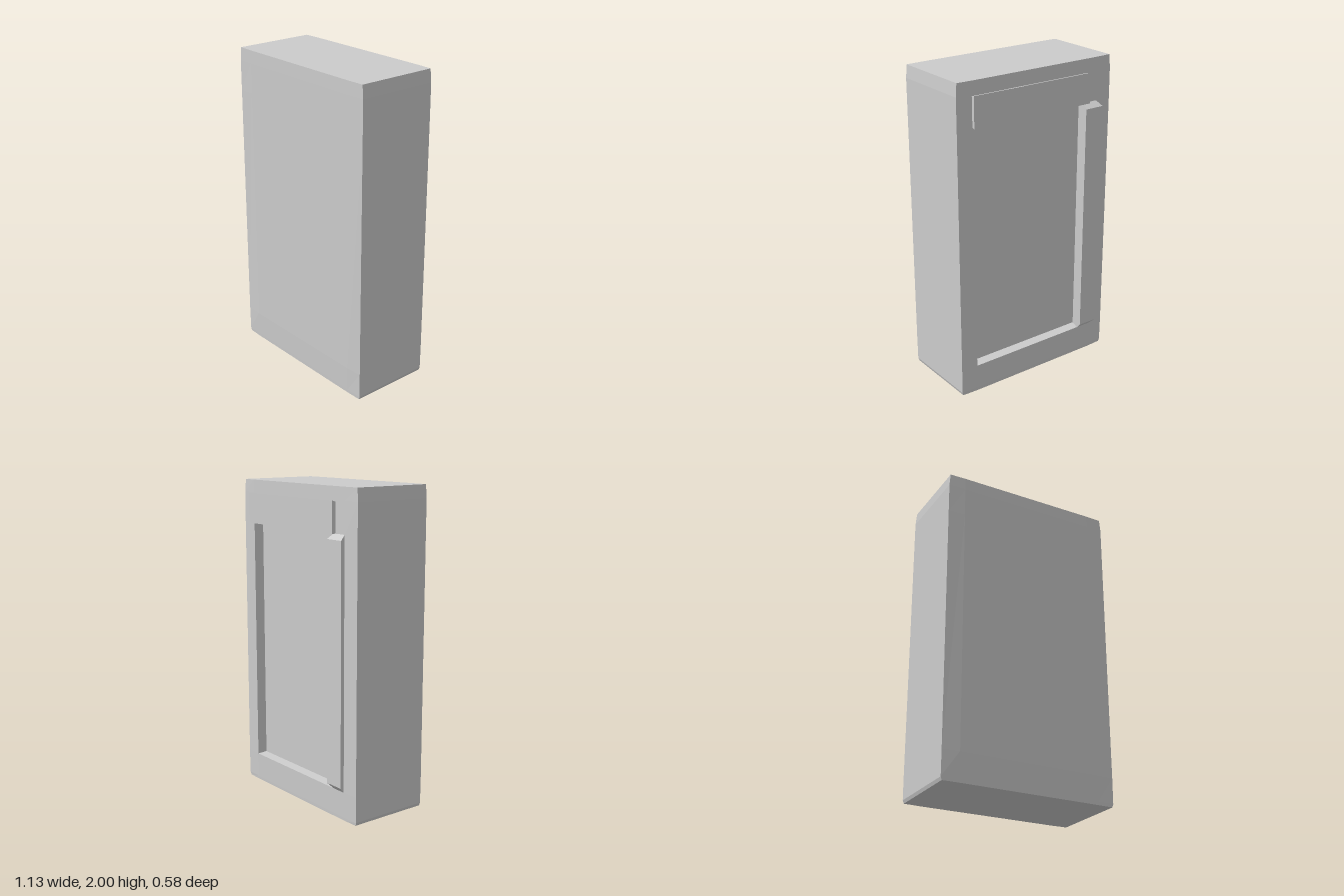
import * as THREE from 'three';

const material = new THREE.MeshStandardMaterial({ color: 0xcccccc, flatShading: true });

// Turns a list of four-cornered faces into a mesh
function quadMesh(name, quads) {
  const pos = quads.flatMap(([a, b, c, d]) => [a, b, c, a, c, d].flat());
  const geo = new THREE.BufferGeometry();
  geo.setAttribute('position', new THREE.Float32BufferAttribute(pos, 3));
  geo.computeVertexNormals();
  const mesh = new THREE.Mesh(geo, material);
  mesh.name = name;
  return mesh;
}

// Sloping sides through a row of rectangles [x0, x1, y0, y1, z], closed at the last one
function taper(name, ...rects) {
  const rings = rects.map(([x0, x1, y0, y1, z]) => [[x1, y0, z], [x0, y0, z], [x0, y1, z], [x1, y1, z]]);
  const quads = [rings[rings.length - 1]];
  for (let r = 0; r + 1 < rings.length; r++) {
    const a = rings[r], b = rings[r + 1];
    for (let i = 0; i < 4; i++) {
      const j = (i + 1) % 4;
      quads.push([a[i], a[j], b[j], b[i]]);
    }
  }
  return quadMesh(name, quads);
}

export function createModel() {
  const group = new THREE.Group();
  const mid = 0.455, low = 0.18, high = 1.73;

  // Body: eight-sided sections [y, half width, front corner, front, back corner, back]
  const rings = [
    [0, 0.558, 0.278, 0.281, -0.241, -0.246],
    [0.02, 0.565, 0.279, 0.282, -0.243, -0.247],
    [low, 0.565, 0.281, 0.288, -0.245, -0.25],
    [high, 0.565, 0.28, 0.284, -0.245, -0.25],
    [1.92, 0.565, 0.28, 0.283, -0.244, -0.248],
    [2, 0.558, 0.279, 0.282, -0.242, -0.247],
  ].map(([y, w, fc, f, bc, b]) => [
    [-w, y, fc], [-mid, y, f], [mid, y, f], [w, y, fc],
    [w, y, bc], [mid, y, b], [-mid, y, b], [-w, y, bc],
  ]);
  const quads = [];
  for (let r = 0; r + 1 < rings.length; r++) {
    for (let k = 0; k < 8; k++) {
      if (r === 2 && k === 5) continue; // opening of the back recess
      const n = (k + 1) % 8;
      quads.push([rings[r][k], rings[r][n], rings[r + 1][n], rings[r + 1][k]]);
    }
  }
  // Bottom and top
  const bottom = rings[0], top = rings[rings.length - 1];
  for (const [a, b, c, d] of [[0, 1, 6, 7], [1, 2, 5, 6], [2, 3, 4, 5]]) {
    quads.push([top[a], top[b], top[c], top[d]], [bottom[d], bottom[c], bottom[b], bottom[a]]);
  }
  group.add(quadMesh('body', quads));

  // Recess in the back
  group.add(taper('backRecess', [-mid, mid, low, high, -0.25], [-mid, 0.45, low + 0.005, high, -0.188]));

  // Upright bar beside the recess, flaring outward with bevelled ends
  group.add(taper('backBar',
    [-mid, -0.37, low, high, -0.188],
    [-mid, -0.355, low, high, -0.25],
    [-0.475, -0.345, 0.22, 1.7, -0.29]));

  // Flat panel above the recess
  group.add(taper('backPanel', [-0.37, 0.46, high, 1.91, -0.24], [-0.38, 0.47, high, 1.92, -0.28]));

  return group;
}
